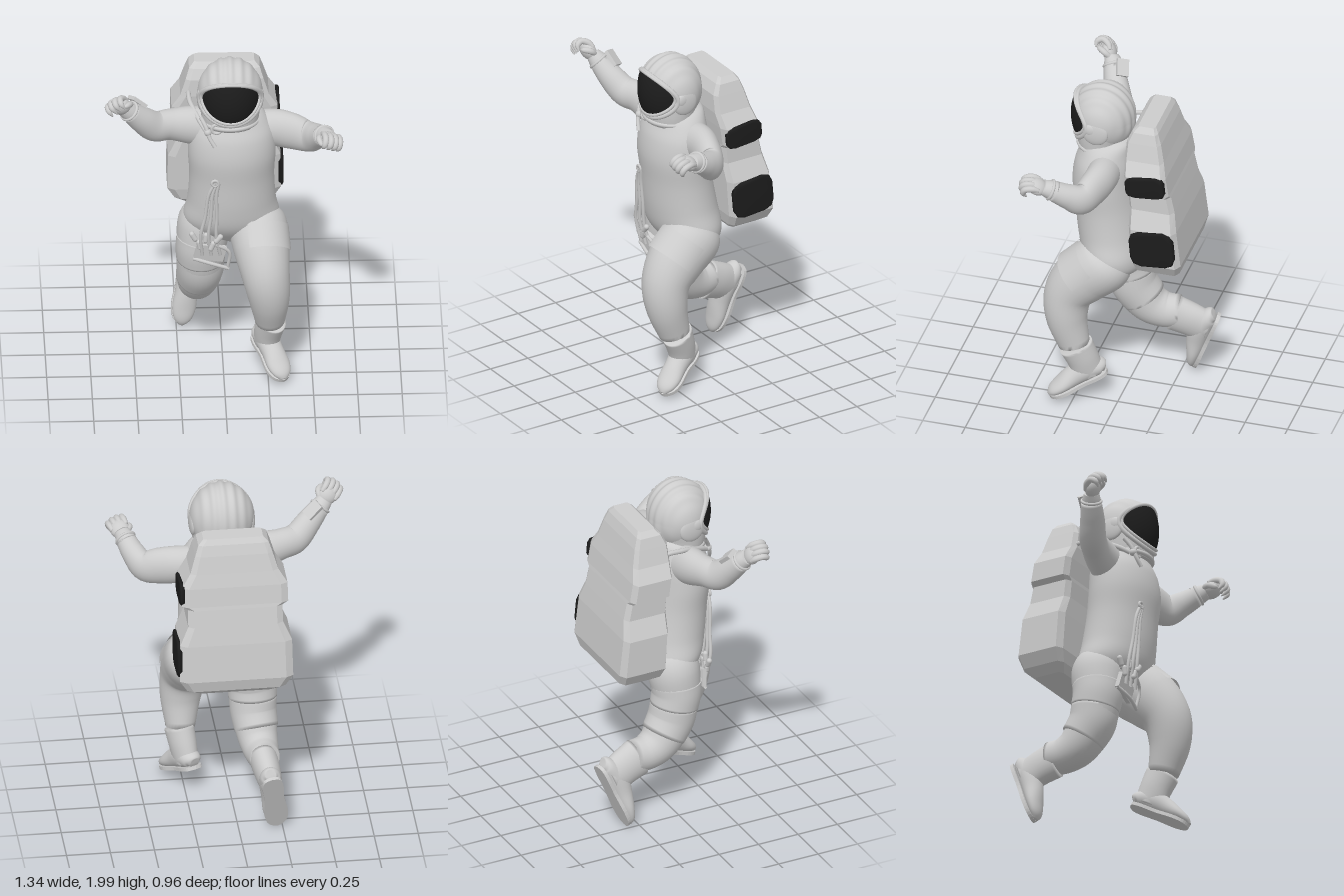
import * as THREE from 'three';

const V = (x, y, z) => new THREE.Vector3(x, y, z);
const grey = new THREE.MeshStandardMaterial({ color: 0xcccccc, side: THREE.DoubleSide });
const faceted = new THREE.MeshStandardMaterial({ color: 0xcccccc, flatShading: true });
const black = new THREE.MeshStandardMaterial({ color: 0x1c1c1c, side: THREE.DoubleSide });
const UP = V(0, 1, 0), RIGHT = V(1, 0, 0);

const circle = n => Array.from({ length: n }, (_, i) => [Math.cos(i / n * 2 * Math.PI), Math.sin(i / n * 2 * Math.PI)]);

// Sweeps a scaled outline along stations [x, y, z, halfWidth, halfDepth]; axis fixes the section normal
function loft(stations, ref, { outline = circle(28), steps = (stations.length - 1) * 6, axis } = {}) {
  const path = new THREE.CatmullRomCurve3(stations.map(s => V(s[0], s[1], s[2])), false, 'catmullrom');
  const size = new THREE.CatmullRomCurve3(stations.map(s => V(s[3], s[4] ?? s[3], 0)), false, 'catmullrom');
  const pos = [], idx = [], n = outline.length;
  for (let i = 0; i <= steps; i++) {
    const c = path.getPoint(i / steps), r = size.getPoint(i / steps), t = axis ?? path.getTangent(i / steps);
    const u = ref.clone().addScaledVector(t, -ref.dot(t)).normalize(), v = t.clone().cross(u);
    for (const [p, q] of outline) pos.push(...c.clone().addScaledVector(u, p * r.x).addScaledVector(v, q * r.y).toArray());
  }
  for (let i = 0; i < steps; i++) for (let j = 0; j < n; j++) {
    const a = i * n + j, b = i * n + (j + 1) % n;
    idx.push(a, b, b + n, a, b + n, a + n);
  }
  const last = steps * n;
  for (let j = 1; j < n - 1; j++) idx.push(0, j + 1, j, last, last + j, last + j + 1);
  const g = new THREE.BufferGeometry();
  g.setAttribute('position', new THREE.Float32BufferAttribute(pos, 3));
  g.setIndex(idx);
  g.computeVertexNormals();
  return g;
}

function add(parent, name, geometry, material = grey, position = [0, 0, 0]) {
  const m = new THREE.Mesh(geometry, material);
  m.name = name;
  m.position.set(...position);
  parent.add(m);
  return m;
}

const tube = (pts, r, closed = false) =>
  new THREE.TubeGeometry(new THREE.CatmullRomCurve3(pts.map(p => V(...p)), closed), pts.length * 8, r, 8, closed);

// Boot with sole at y = 0 and toe toward +z
function makeBoot(name) {
  const boot = new THREE.Group();
  boot.name = name;
  add(boot, 'bootShaft', loft([[0, 0.24, 0, 0.08, 0.098], [0, 0.15, 0, 0.076, 0.092], [0, 0.08, 0.005, 0.068, 0.09], [0, 0.03, 0, 0.06, 0.08]], RIGHT, { axis: UP }));
  add(boot, 'bootFoot', loft([[0, 0.03, -0.085, 0.03, 0.03], [0, 0.05, -0.06, 0.058, 0.05], [0, 0.07, 0.02, 0.066, 0.07],
    [0, 0.06, 0.1, 0.064, 0.06], [0, 0.043, 0.18, 0.068, 0.043], [0, 0.03, 0.235, 0.052, 0.03], [0, 0.012, 0.266, 0.02, 0.015]], RIGHT));
  const half = [[0.045, -0.075], [0.06, -0.02], [0.056, 0.07], [0.068, 0.17], [0.052, 0.24]];
  const outline = [[0, -0.09], ...half, [0, 0.272], ...half.slice().reverse().map(([x, z]) => [-x, z])];
  const shape = new THREE.Shape(new THREE.SplineCurve([...outline, outline[0]].map(p => new THREE.Vector2(...p))).getPoints(48));
  add(boot, 'bootSole', new THREE.ExtrudeGeometry(shape, { depth: 0.02, bevelEnabled: false }).rotateX(Math.PI / 2), grey, [0, 0.014, 0]);
  return boot;
}

// Gloved hand along +y with fingers curled toward +z
function makeHand(name, side) {
  const hand = new THREE.Group();
  hand.name = name;
  const finger = { outline: circle(10) };
  add(hand, 'palm', new THREE.SphereGeometry(1, 24, 16).scale(0.056, 0.06, 0.04), grey, [0, 0.06, 0.008]);
  add(hand, 'gloveWrist', loft([[0, -0.05, 0, 0.058], [0, -0.01, 0, 0.053], [0, 0.03, 0, 0.046, 0.04]], RIGHT));
  add(hand, 'gloveCuff', new THREE.TorusGeometry(0.054, 0.009, 10, 28).rotateX(Math.PI / 2), grey, [0, -0.02, 0]);
  for (let i = 0; i < 4; i++) {
    const x = -0.044 + i * 0.029, l = i % 3 ? 0.01 : 0;
    add(hand, 'finger', loft([[x, 0.055, -0.012, 0.012], [x, 0.095 + l, -0.007, 0.018], [x, 0.128 + l, 0.018, 0.018],
      [x, 0.125 + l, 0.052, 0.016], [x, 0.095, 0.07, 0.004]], RIGHT, finger));
  }
  add(hand, 'thumb', loft([[0.03, 0.02, 0, 0.015], [0.056, 0.05, 0.02, 0.018], [0.05, 0.08, 0.045, 0.015], [0.04, 0.095, 0.055, 0.004]].map(
    p => [p[0] * side, ...p.slice(1)]), V(0, 0, 1), finger));
  return hand;
}

// Helmet shell with front-to-back ribs, dark visor and rim
function makeHelmet() {
  const helmet = new THREE.Group();
  helmet.name = 'helmet';
  helmet.position.set(0.04, 1.795, 0.14);
  const front = (x, y) => 0.192 * Math.sqrt(Math.max(0, 1 - (x / 0.173) ** 2 - (y / 0.25) ** 2));
  const shell = new THREE.SphereGeometry(1, 128, 96), p = shell.attributes.position;
  for (let i = 0; i < p.count; i++) {
    const x = p.getX(i), y = p.getY(i), z = p.getZ(i);
    const mask = THREE.MathUtils.smoothstep(y - z * 0.5, -0.1, 0.4) * (1 - x * x);
    const k = 1 + 0.022 * mask * Math.cos(x * 20);
    // fuller brow over the visor
    const brow = 1 + 0.06 * Math.max(0, y * z) * 2;
    const sx = x * k * 0.183, sy = y * k * 0.2, sz = z * k * 0.175 * brow;
    // recess the shell behind the visor opening
    const open = z > 0 && (sx / 0.164) ** 2 + ((sy - 0.005) / 0.126) ** 2 < 1;
    p.setXYZ(i, sx, sy, open ? Math.min(sz, front(sx, sy) - 0.012) : sz);
  }
  shell.computeVertexNormals();
  add(helmet, 'helmetShell', shell);
  const visor = new THREE.RingGeometry(0.001, 1, 56, 12), q = visor.attributes.position;
  for (let i = 0; i < q.count; i++) {
    const x = q.getX(i) * 0.16, y = q.getY(i) * 0.122;
    q.setXYZ(i, x, y + 0.005, front(x, y));
  }
  visor.computeVertexNormals();
  add(helmet, 'visor', visor, black);
  const rim = (k, drop, dz) => circle(40).map(([c, s]) => [0.16 * k * c, 0.122 * k * s + drop, front(0.16 * c, 0.122 * s) + dz]);
  add(helmet, 'visorRim', tube(rim(1.03, 0.005, -0.002), 0.01, true));
  add(helmet, 'outerRim', tube(rim(1.09, -0.006, -0.016), 0.014, true));
  for (const s of [-1, 1]) {
    add(helmet, 'earCup', new THREE.SphereGeometry(1, 24, 16).scale(0.022, 0.075, 0.075), grey, [s * 0.167, -0.03, 0.005]);
    add(helmet, 'earBoss', new THREE.SphereGeometry(1, 20, 14).scale(0.018, 0.04, 0.04), grey, [s * 0.172, -0.01, 0.03]);
  }
  add(helmet, 'helmetBase', loft([[0, -0.19, 0.005, 0.16, 0.14], [0, -0.13, 0.01, 0.166, 0.143], [0, -0.06, 0, 0.174, 0.155]], RIGHT, { axis: UP }));
  add(helmet, 'neckRing', new THREE.TorusGeometry(1, 0.09, 12, 48).rotateX(Math.PI / 2).scale(0.157, 0.15, 0.14), grey, [0, -0.17, 0.005]);
  return helmet;
}

// Faceted life-support pack with two side bulges and dark pads
function makePack() {
  const pack = new THREE.Group();
  pack.name = 'backpack';
  const x = 0.015;
  const rows = [[0.91, -0.23, 0.22, 0.09], [0.95, -0.237, 0.28, 0.13], [1.02, -0.237, 0.322, 0.146], [1.24, -0.217, 0.318, 0.14],
    [1.35, -0.203, 0.27, 0.132], [1.45, -0.187, 0.268, 0.126], [1.47, -0.184, 0.302, 0.124], [1.58, -0.167, 0.3, 0.122],
    [1.66, -0.152, 0.25, 0.115], [1.76, -0.142, 0.22, 0.1], [1.82, -0.145, 0.2, 0.075], [1.85, -0.15, 0.17, 0.05]];
  const octagon = [[1, -0.84], [1, 0.84], [0.87, 1], [-0.87, 1], [-1, 0.84], [-1, -0.84], [-0.87, -1], [0.87, -1]];
  add(pack, 'packBody', loft(rows.map(([y, z, a, b]) => [x, y, z, a, b]), RIGHT,
    { outline: octagon, steps: rows.length - 1, axis: UP }), faceted);
  // rounded pad outline swept a short way along x
  const pad = (name, y, z, px, h, d) => {
    const corner = [[1, -0.55], [1, 0.55], [0.85, 0.88], [0.5, 1], [-0.5, 1], [-0.85, 0.88], [-1, 0.55], [-1, -0.55], [-0.85, -0.88], [-0.5, -1], [0.5, -1], [0.85, -0.88]];
    const g = loft([[-0.015, 0, 0, h, d], [0.005, 0, 0, h, d], [0.012, 0, 0, h * 0.9, d * 0.92]], UP, { outline: corner, steps: 2, axis: RIGHT });
    add(pack, name, g, black, [px, y, z]).rotation.x = 0.09;
  };
  pad('lowerPad', 1.13, -0.225, 0.337, 0.112, 0.13);
  pad('upperPad', 1.525, -0.178, 0.316, 0.066, 0.115);
  return pack;
}

export function createModel() {
  const g = new THREE.Group();
  g.name = 'astronaut';

  // Suit torso
  const tx = 0.05;
  add(g, 'torso', loft([[tx, 0.8, 0.04, 0.08, 0.08], [tx, 0.86, 0.04, 0.225, 0.15], [tx, 0.95, 0.06, 0.272, 0.19], [tx, 1.08, 0.085, 0.25, 0.195],
    [tx, 1.25, 0.108, 0.24, 0.188], [tx, 1.4, 0.125, 0.248, 0.187], [tx, 1.52, 0.122, 0.24, 0.176], [tx, 1.6, 0.112, 0.21, 0.155],
    [tx, 1.66, 0.1, 0.165, 0.14], [tx, 1.69, 0.09, 0.11, 0.11]], RIGHT, { outline: circle(48), axis: UP }));

  // Sleeves
  add(g, 'leftArm', loft([[0.1, 1.51, 0.1, 0.105, 0.1], [0.27, 1.525, 0.088, 0.11, 0.09], [0.38, 1.512, 0.108, 0.11, 0.08], [0.48, 1.495, 0.145, 0.093, 0.07],
    [0.53, 1.535, 0.215, 0.072, 0.066], [0.564, 1.58, 0.29, 0.058]], UP));
  add(g, 'rightArm', loft([[-0.03, 1.53, 0.1, 0.11, 0.1], [-0.18, 1.565, 0.115, 0.112, 0.092], [-0.3, 1.585, 0.14, 0.092, 0.078], [-0.385, 1.595, 0.177, 0.088, 0.076],
    [-0.46, 1.665, 0.22, 0.075, 0.07], [-0.53, 1.74, 0.255, 0.058]], UP));

  // Gloves
  const place = (hand, at, dir) => {
    hand.position.set(...at);
    hand.quaternion.setFromUnitVectors(UP, V(...dir).normalize());
    g.add(hand);
  };
  place(makeHand('leftHand', -1), [0.574, 1.594, 0.318], [0.05, 0.06, 0.13]);
  place(makeHand('rightHand', 1), [-0.546, 1.758, 0.265], [-0.08, 0.09, 0.05]);
  const plate = add(g, 'wristPlate', new THREE.BoxGeometry(0.1, 0.022, 0.07), grey, [-0.485, 1.765, 0.19]);
  plate.rotation.set(-0.35, 0.5, -0.6);

  // Trouser legs: left knee raised forward, right leg trailing
  add(g, 'leftLeg', loft([[0.18, 0.965, 0.04, 0.12, 0.12], [0.195, 0.905, 0.09, 0.165, 0.17], [0.213, 0.815, 0.2, 0.16, 0.17], [0.235, 0.69, 0.29, 0.138, 0.142],
    [0.255, 0.54, 0.3, 0.118, 0.12], [0.262, 0.36, 0.252, 0.084, 0.09]], RIGHT));
  add(g, 'rightLeg', loft([[-0.07, 0.97, 0.04, 0.13], [-0.1, 0.88, 0.04, 0.155, 0.15], [-0.12, 0.73, 0.05, 0.138, 0.137], [-0.125, 0.58, 0.015, 0.128, 0.132],
    [-0.138, 0.46, -0.06, 0.115, 0.12], [-0.15, 0.41, -0.15, 0.1, 0.105], [-0.16, 0.41, -0.245, 0.085, 0.095]], RIGHT));
  const leftBoot = makeBoot('leftBoot');
  leftBoot.position.set(0.228, 0.14, 0.152);
  leftBoot.rotation.set(0.42, 0.45, 0, 'YXZ');
  const rightBoot = makeBoot('rightBoot');
  rightBoot.position.set(-0.185, 0.31, -0.435);
  rightBoot.rotation.set(1.19, 0.08, -0.16, 'ZYX');
  rightBoot.scale.z = 1.2;
  g.add(leftBoot, rightBoot);

  // Thigh bands and pocket flap
  add(g, 'upperThighBand', loft([[-0.115, 0.8, 0.05, 0.146, 0.146], [-0.122, 0.735, 0.05, 0.143, 0.142], [-0.124, 0.66, 0.035, 0.139, 0.14]], RIGHT));
  add(g, 'lowerThighBand', loft([[-0.124, 0.665, 0.035, 0.136, 0.137], [-0.125, 0.58, 0.015, 0.133, 0.137], [-0.136, 0.49, -0.04, 0.125, 0.13]], RIGHT));
  const flap = add(g, 'thighFlap', new THREE.CylinderGeometry(0.168, 0.17, 0.15, 24, 1, true, -0.4, 2), grey, [0.208, 0.838, 0.186]);
  flap.quaternion.setFromUnitVectors(UP, V(-0.01, 0.12, -0.12).normalize());

  g.add(makeHelmet(), makePack());

  // Hose over the shoulder and clip below the collar
  add(g, 'shoulderHose', tube([[-0.18, 1.62, -0.09], [-0.19, 1.68, -0.06], [-0.185, 1.68, 0.05], [-0.16, 1.66, 0.13], [-0.13, 1.63, 0.2], [-0.1, 1.6, 0.25]], 0.014));
  add(g, 'collarHose', tube([[-0.13, 1.68, 0.23], [-0.1, 1.63, 0.26], [-0.08, 1.57, 0.28], [-0.05, 1.52, 0.295]], 0.012));
  add(g, 'collarClip', new THREE.TorusGeometry(0.028, 0.009, 8, 20), grey, [-0.04, 1.62, 0.265]);
  add(g, 'collarKnob', new THREE.SphereGeometry(0.022, 14, 10), grey, [-0.09, 1.6, 0.265]);

  // Waist tethers with fittings
  for (let i = 0; i < 3; i++) {
    const d = i * 0.022;
    add(g, 'tether', tube([[-0.05 + d * 0.5, 1.28, 0.29], [-0.085 + d, 1.2, 0.283], [-0.105 + d * 1.5, 1.05, 0.272], [-0.13 + d * 2, 0.92, 0.262], [-0.12 + d * 2.3, 0.78, 0.235]], 0.01));
  }
  add(g, 'tetherLoop', new THREE.TorusGeometry(0.018, 0.008, 8, 18), grey, [-0.05, 1.28, 0.292]);
  for (let i = 0; i < 5; i++)
    add(g, 'fitting', new THREE.CapsuleGeometry(0.016, 0.035, 4, 10), grey, [-0.17 + i * 0.035, 0.9 - (i % 2) * 0.05, 0.23 + i * 0.008]).rotation.z = 0.5 - i * 0.3;
  const pouch = add(g, 'hipPouch', new THREE.BoxGeometry(0.17, 0.1, 0.025), grey, [-0.075, 0.78, 0.2]);
  pouch.rotation.set(0.15, 0.1, -0.25);
  add(g, 'pouchBar', tube([[-0.17, 0.745, 0.21], [-0.06, 0.715, 0.225], [0.03, 0.68, 0.215]], 0.011));
  add(g, 'pouchStrap', tube([[-0.16, 0.87, 0.22], [-0.06, 0.86, 0.25], [0.03, 0.8, 0.235], [0.025, 0.69, 0.215]], 0.01));
  return g;
}
